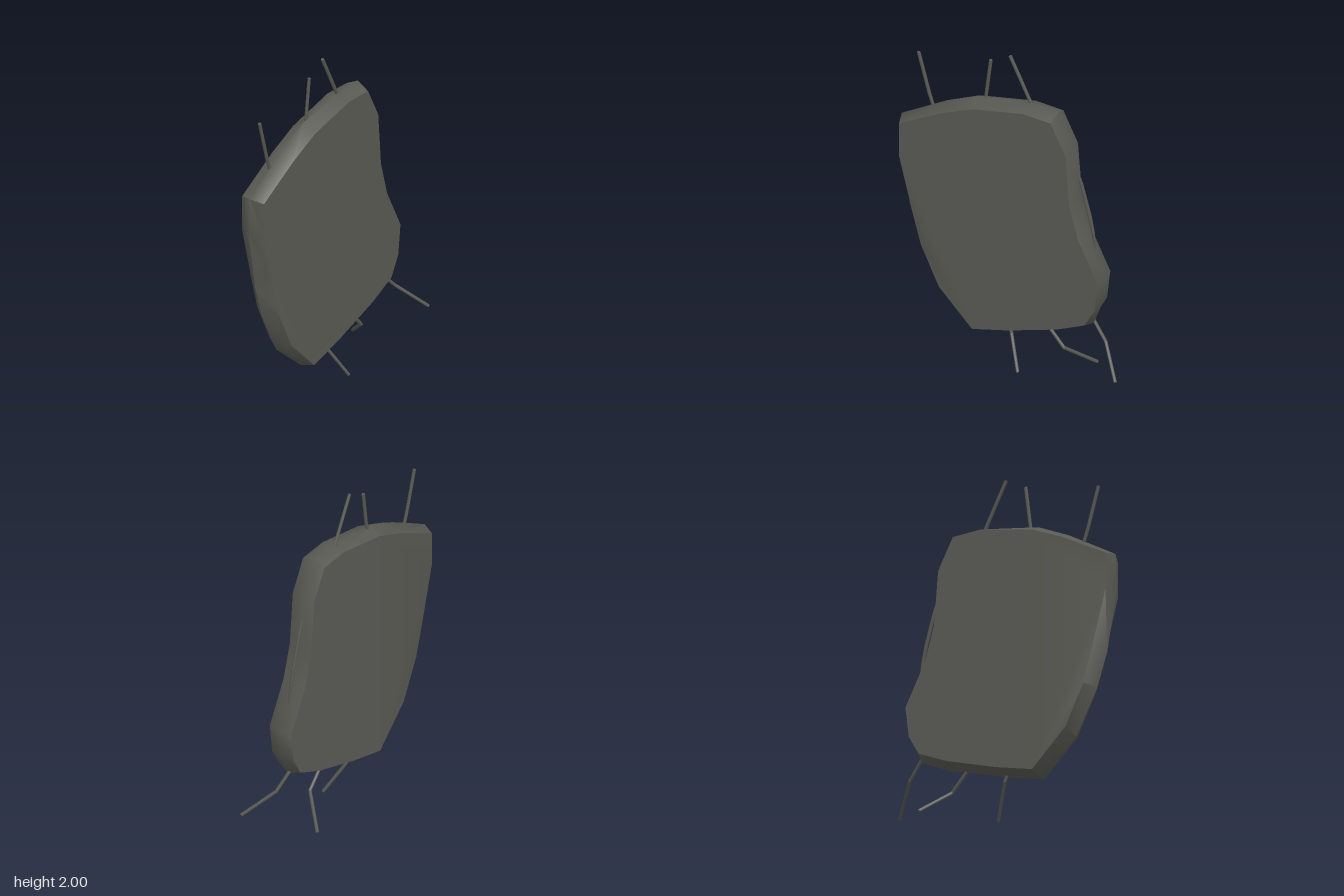
import * as THREE from 'three';
import { toCreasedNormals } from 'three/addons/utils/BufferGeometryUtils.js';

// Outline pairs, clockwise from the upper left: [middle ring x, y, face ring x, y]
const OUTLINE = [
  [-0.70, 1.42, -0.675, 1.405], [-0.42, 1.59, -0.41, 1.555], [-0.23, 1.68, -0.22, 1.64],
  [0.09, 1.73, 0.09, 1.705], [0.27, 1.73, 0.26, 1.695], [0.37, 1.52, 0.35, 1.51],
  [0.395, 1.19, 0.375, 1.19], [0.445, 0.99, 0.43, 0.98], [0.573, 0.74, 0.55, 0.73],
  [0.54, 0.56, 0.53, 0.55], [0.485, 0.41, 0.47, 0.435], [0.30, 0.32, 0.30, 0.355],
  [0.0, 0.23, 0.0, 0.255], [-0.24, 0.175, -0.225, 0.195], [-0.46, 0.37, -0.43, 0.41],
  [-0.59, 0.64, -0.54, 0.65], [-0.65, 0.84, -0.60, 0.88], [-0.708, 1.20, -0.675, 1.19],
].reverse();

// Flat slab with a rim that swells towards its middle ring
function slabGeometry(front, middle, back) {
  const n = OUTLINE.length, positions = [], index = [];
  for (const p of OUTLINE) positions.push(p[2], p[3], front);
  for (const p of OUTLINE) positions.push(p[0], p[1], middle);
  for (const p of OUTLINE) positions.push(p[2], p[3], back);
  for (let ring = 0; ring < 2; ring++) {
    for (let i = 0; i < n; i++) {
      const a = ring * n + i, b = ring * n + (i + 1) % n;
      index.push(a, a + n, b, b, a + n, b + n);
    }
  }
  const face = OUTLINE.map(p => new THREE.Vector2(p[2], p[3]));
  for (const [a, b, c] of THREE.ShapeUtils.triangulateShape(face, [])) {
    index.push(a, b, c, a + 2 * n, c + 2 * n, b + 2 * n);
  }
  const geometry = new THREE.BufferGeometry();
  geometry.setAttribute('position', new THREE.Float32BufferAttribute(positions, 3));
  geometry.setIndex(index);
  return toCreasedNormals(geometry, 0.95);
}

// Thin rod that follows a few points, one cylinder per stretch
function rod(name, points, radii, material) {
  const group = new THREE.Group();
  group.name = name;
  const up = new THREE.Vector3(0, 1, 0);
  for (let i = 0; i < points.length - 1; i++) {
    const a = new THREE.Vector3(...points[i]), b = new THREE.Vector3(...points[i + 1]);
    const dir = b.clone().sub(a);
    const mesh = new THREE.Mesh(
      new THREE.CylinderGeometry(radii[i + 1], radii[i], dir.length() + 0.004, 6), material);
    mesh.name = name + 'Part' + (i + 1);
    mesh.position.copy(a).add(b).multiplyScalar(0.5);
    mesh.quaternion.setFromUnitVectors(up, dir.normalize());
    group.add(mesh);
  }
  return group;
}

export function createModel() {
  const model = new THREE.Group();
  model.name = 'slabWithRods';
  const grey = new THREE.MeshStandardMaterial({ color: 0x5a5a54 });
  grey.name = 'dark grey';

  const body = new THREE.Mesh(slabGeometry(0.08, 0, -0.07), grey);
  body.name = 'body';
  model.add(body);

  // Upper rods, lower bent rods
  const z = -0.008, r = [0.01, 0.01, 0.01];
  const rods = {
    upperRightRod: [[-0.50, 1.49, z], [-0.535, 1.60, z], [-0.60, 1.845, z]],
    upperMiddleRod: [[-0.19, 1.64, z], [-0.155, 1.93, z]],
    upperLeftRod: [[0.11, 1.69, z], [0.03, 1.86, z], [-0.035, 1.995, z]],
    lowerRightRod: [[-0.045, 0.25, 0], [-0.02, 0.19, 0.005], [0.065, 0.012, 0.095]],
    lowerMiddleRod: [[0.19, 0.32, 0], [0.30, 0.19, 0], [0.425, 0.047, -0.152]],
    lowerLeftRod: [[0.47, 0.44, -0.01], [0.57, 0.325, 0.02], [0.70, 0.18, 0.157]],
  };
  for (const [name, points] of Object.entries(rods)) model.add(rod(name, points, r, grey));

  // Bowed side handle, tapered into the body at both ends
  model.add(rod('sideHandle',
    [[0.375, 1.39, z], [0.405, 1.29, z], [0.455, 1.10, z], [0.475, 1.0, z], [0.495, 0.89, z]],
    [0.004, 0.01, 0.011, 0.01, 0.004], grey));
  return model;
}
